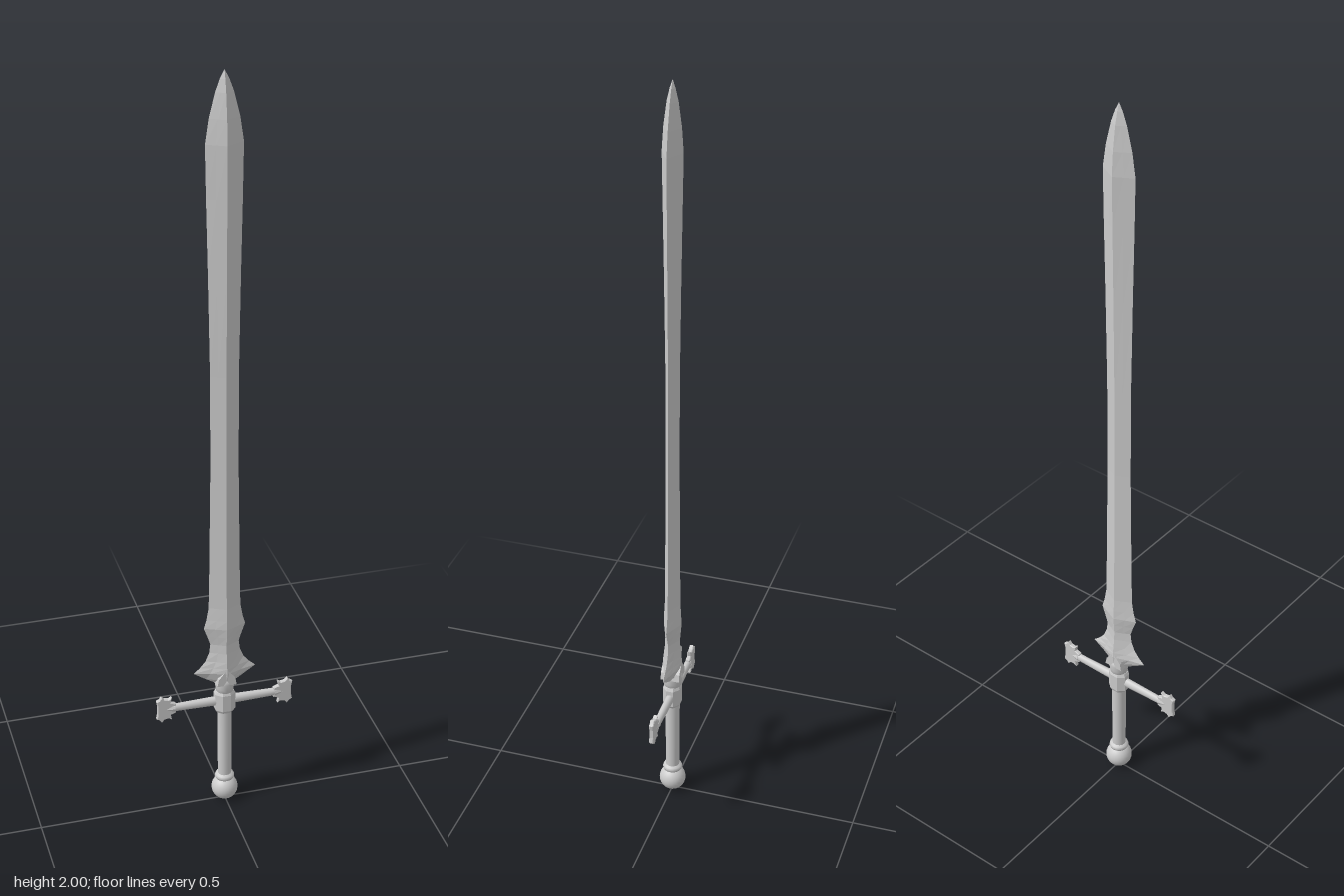
import * as THREE from 'three';

const material = new THREE.MeshStandardMaterial({ color: 0xcccccc });
const flat = new THREE.MeshStandardMaterial({ color: 0xcccccc, flatShading: true });

function add(parent, name, geometry, mat = material) {
  const mesh = new THREE.Mesh(geometry, mat);
  mesh.name = name;
  parent.add(mesh);
  return mesh;
}

const lathe = (points, sides) =>
  new THREE.LatheGeometry(points.map(([r, y]) => new THREE.Vector2(r, y)), sides);

// Diamond cross-sections [y, half width, half thickness, hollow] stacked upwards
function bladeGeometry(sections) {
  const pos = [], index = [], n = 8;
  for (const [y, w, t, hollow = 1] of sections) {
    const mx = w * 0.5, mz = t * 0.5 * hollow;
    const ring = [[w, 0], [mx, mz], [0, t], [-mx, mz], [-w, 0], [-mx, -mz], [0, -t], [mx, -mz]];
    for (const [x, z] of ring) pos.push(x, y, z);
  }
  for (let s = 0; s < sections.length - 1; s++) {
    for (let i = 0; i < n; i++) {
      const a = s * n + i, b = s * n + (i + 1) % n;
      index.push(a, a + n, b, b, a + n, b + n);
    }
  }
  // Close the base
  for (let i = 1; i < n - 1; i++) index.push(0, i, i + 1);
  const g = new THREE.BufferGeometry();
  g.setAttribute('position', new THREE.Float32BufferAttribute(pos, 3));
  g.setIndex(index);
  g.computeVertexNormals();
  return g;
}

// Fishtail end of a guard arm, drawn along +x
function finialGeometry() {
  const half = [
    [0.132, 0.014], [0.146, 0.019], [0.143, 0.034], [0.152, 0.029],
    [0.163, 0.031], [0.170, 0.039], [0.176, 0.031], [0.184, 0.027], [0.181, 0.012],
  ];
  const outline = [...half.map(([x, y]) => [x, -y]), ...half.slice().reverse()];
  const shape = new THREE.Shape(outline.map(([x, y]) => new THREE.Vector2(x, y)));
  const g = new THREE.ExtrudeGeometry(shape, {
    depth: 0.008, bevelEnabled: true, bevelThickness: 0.002, bevelSize: 0.002,
    bevelOffset: -0.002, bevelSegments: 1,
  });
  return g.translate(0, 0, -0.004);
}

export function createModel() {
  const sword = new THREE.Group();
  sword.name = 'sword';

  // Blade with central ridge, leaf-shaped tip and flared base
  add(sword, 'blade', bladeGeometry([
    [0.368, 0.022, 0.018],
    [0.385, 0.050, 0.025, 0.9],
    [0.407, 0.083, 0.027, 0.8],
    [0.422, 0.066, 0.026, 0.85],
    [0.440, 0.051, 0.024, 0.9],
    [0.465, 0.041, 0.021],
    [0.490, 0.038, 0.020],
    [0.515, 0.046, 0.022],
    [0.540, 0.055, 0.024],
    [0.565, 0.048, 0.023],
    [0.600, 0.042, 0.021],
    [0.700, 0.040, 0.020],
    [1.000, 0.036, 0.018],
    [1.250, 0.036, 0.018],
    [1.500, 0.040, 0.021],
    [1.700, 0.044, 0.024],
    [1.830, 0.046, 0.026],
    [1.890, 0.037, 0.022],
    [1.950, 0.022, 0.014],
    [1.980, 0.011, 0.007],
    [2.000, 0.0005, 0.0005],
  ]), flat);

  // Pommel, neck ring and grip
  add(sword, 'pommel', new THREE.SphereGeometry(0.035, 24, 16)).position.y = 0.035;
  add(sword, 'pommelRing', lathe([
    [0.015, 0.062], [0.024, 0.066], [0.026, 0.072], [0.024, 0.078], [0.017, 0.082],
  ], 20));
  add(sword, 'grip', new THREE.CylinderGeometry(0.019, 0.018, 0.215, 16).translate(0, 0.1825, 0));

  // Cross guard
  const guard = new THREE.Group();
  guard.name = 'crossGuard';
  guard.position.y = 0.313;
  sword.add(guard);
  add(guard, 'guardHub', lathe([
    [0.018, -0.034], [0.024, -0.032], [0.029, -0.024], [0.029, 0.024], [0.025, 0.032], [0.018, 0.034],
  ], 8).rotateY(Math.PI / 8).scale(1, 1, 0.85), flat);
  for (const angle of [0, Math.PI]) {
    const side = new THREE.Group();
    side.name = angle ? 'rightArm' : 'leftArm';
    side.rotation.y = angle;
    guard.add(side);
    add(side, 'armRod', new THREE.CylinderGeometry(0.0105, 0.013, 0.12, 12)
      .rotateZ(-Math.PI / 2).scale(1, 1, 0.85).translate(0.08, 0, 0));
    add(side, 'armTaper', new THREE.CylinderGeometry(0.006, 0.011, 0.022, 8)
      .rotateZ(-Math.PI / 2).translate(0.146, 0, 0), flat);
    add(side, 'finial', finialGeometry(), flat);
  }

  // Socket holding the blade, with a pointed tongue up each face
  add(sword, 'bladeSocket', lathe([
    [0.018, 0.340], [0.023, 0.346], [0.024, 0.355], [0.027, 0.372], [0.025, 0.386], [0.012, 0.390],
  ], 16));
  const tongue = new THREE.Shape([[-0.026, 0.372], [0.026, 0.372], [0.022, 0.392], [0, 0.420], [-0.022, 0.392]]
    .map(([x, y]) => new THREE.Vector2(x, y)));
  add(sword, 'socketTongues', new THREE.ExtrudeGeometry(tongue, { depth: 0.05, bevelEnabled: false })
    .translate(0, 0, -0.025), flat);

  return sword;
}
